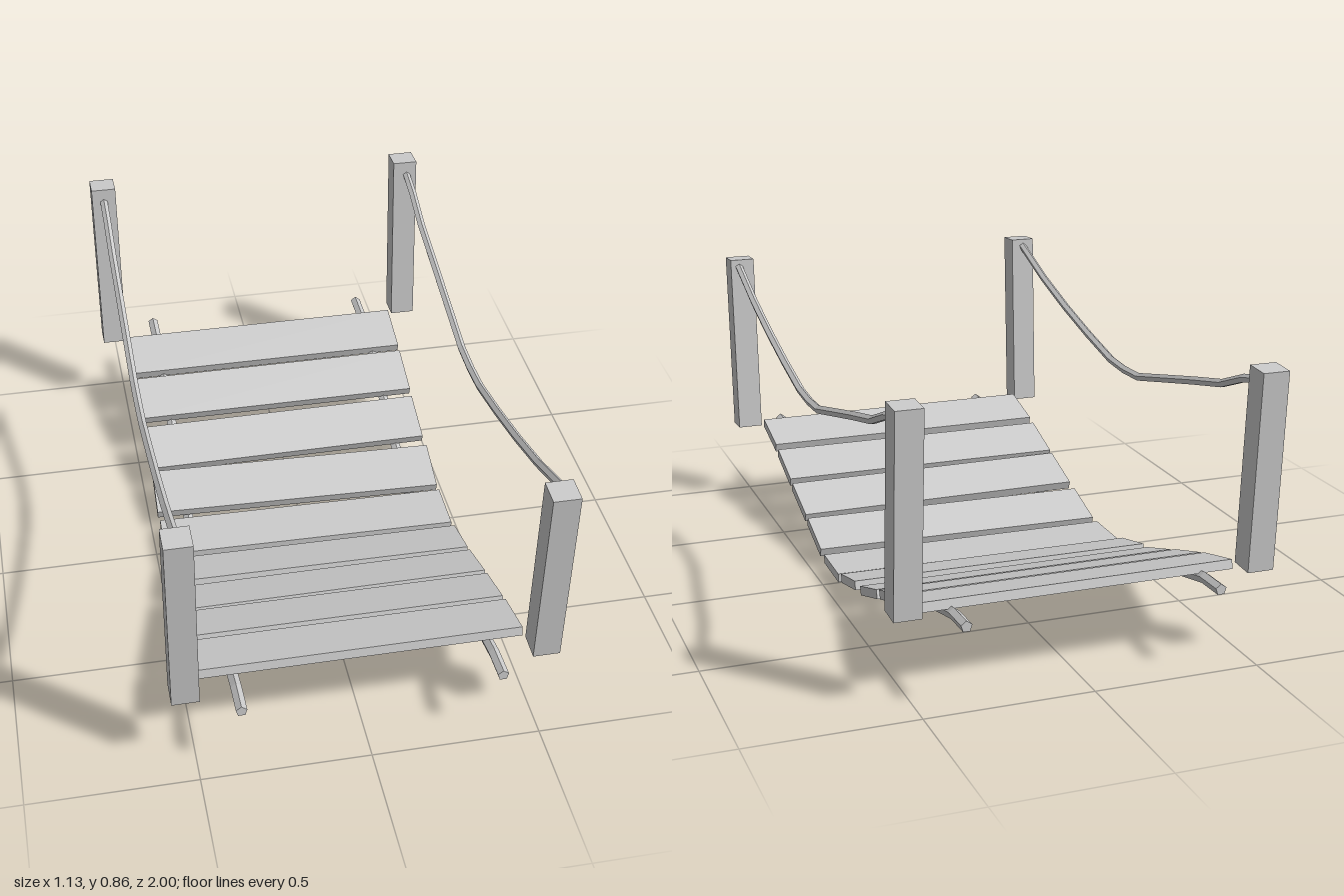
import * as THREE from 'three';

const material = new THREE.MeshStandardMaterial({ color: 0xcccccc, flatShading: true });

// Five-sided rope running along z, bent through [z, y] points (front to back)
function rope(name, x, radius, points) {
  const n = points.length - 1;
  const geometry = new THREE.CylinderGeometry(radius, radius, n, 5, n);
  geometry.rotateX(-Math.PI / 2);
  const pos = geometry.attributes.position;
  for (let i = 0; i < pos.count; i++) {
    const k = Math.round(pos.getZ(i) + n / 2);
    const a = points[Math.max(k - 1, 0)], b = points[Math.min(k + 1, n)];
    const length = Math.hypot(b[0] - a[0], b[1] - a[1]);
    const nz = (b[1] - a[1]) / length, ny = -(b[0] - a[0]) / length;
    const h = pos.getY(i);
    pos.setXYZ(i, pos.getX(i), points[k][1] + h * ny, points[k][0] + h * nz);
  }
  // the points run towards -z, so flip the winding to face outwards
  const index = geometry.index;
  for (let i = 0; i < index.count; i += 3) {
    const first = index.getX(i);
    index.setX(i, index.getX(i + 1));
    index.setX(i + 1, first);
  }
  geometry.computeVertexNormals();
  const mesh = new THREE.Mesh(geometry, material);
  mesh.name = name;
  mesh.position.x = x;
  return mesh;
}

export function createModel() {
  const bridge = new THREE.Group();
  bridge.name = 'ropeBridge';

  // Planks: z, y, pitch, yaw
  const planks = [
    [0.78, 0.262, -0.24, 0], [0.585, 0.204, -0.31, -0.004], [0.4, 0.143, -0.32, 0.005],
    [0.203, 0.083, -0.28, -0.016], [0, 0.052, 0, -0.016], [-0.198, 0.083, 0.24, -0.026],
    [-0.402, 0.13, 0.31, 0.005], [-0.6, 0.194, 0.3, 0], [-0.79, 0.248, 0.24, 0],
  ];
  const plankGeometry = new THREE.BoxGeometry(0.945, 0.028, 0.174);
  planks.forEach(([z, y, pitch, yaw], i) => {
    const plank = new THREE.Mesh(plankGeometry, material);
    plank.name = `plank${i + 1}`;
    plank.position.set(-0.003, y, z);
    plank.rotation.set(pitch, yaw, 0);
    bridge.add(plank);
  });

  // Sagging ropes under the planks and as handrails
  const deckPath = [
    [1, 0.252], [0.9, 0.246], [0.7, 0.203], [0.43, 0.115], [0.13, 0.033], [0, 0.017],
    [-0.13, 0.03], [-0.28, 0.065], [-0.43, 0.112], [-0.7, 0.206], [-0.9, 0.25], [-1, 0.252],
  ];
  const handPath = [
    [0.91, 0.84], [0.7, 0.765], [0.5, 0.707], [0.3, 0.658], [0.11, 0.618], [0, 0.611],
    [-0.11, 0.615], [-0.3, 0.66], [-0.5, 0.707], [-0.67, 0.745], [-0.8, 0.795], [-0.91, 0.82],
  ];
  for (const side of [-1, 1]) {
    const label = side > 0 ? 'left' : 'right';
    bridge.add(rope(`${label}DeckRope`, side * 0.376, 0.017, deckPath));
    bridge.add(rope(`${label}HandRope`, side * 0.527, 0.013, handPath));
  }

  // Outward-leaning corner posts
  const postGeometry = new THREE.BoxGeometry(0.08, 0.595, 0.08);
  const posts = [
    ['rightFrontPost', -0.526, 0.932], ['leftFrontPost', 0.515, 0.934],
    ['rightBackPost', -0.526, -0.926], ['leftBackPost', 0.521, -0.921],
  ];
  for (const [name, x, z] of posts) {
    const post = new THREE.Mesh(postGeometry, material);
    post.name = name;
    post.position.set(x, 0.566, z);
    post.rotation.x = Math.sign(z) * 0.058;
    bridge.add(post);
  }
  return bridge;
}
